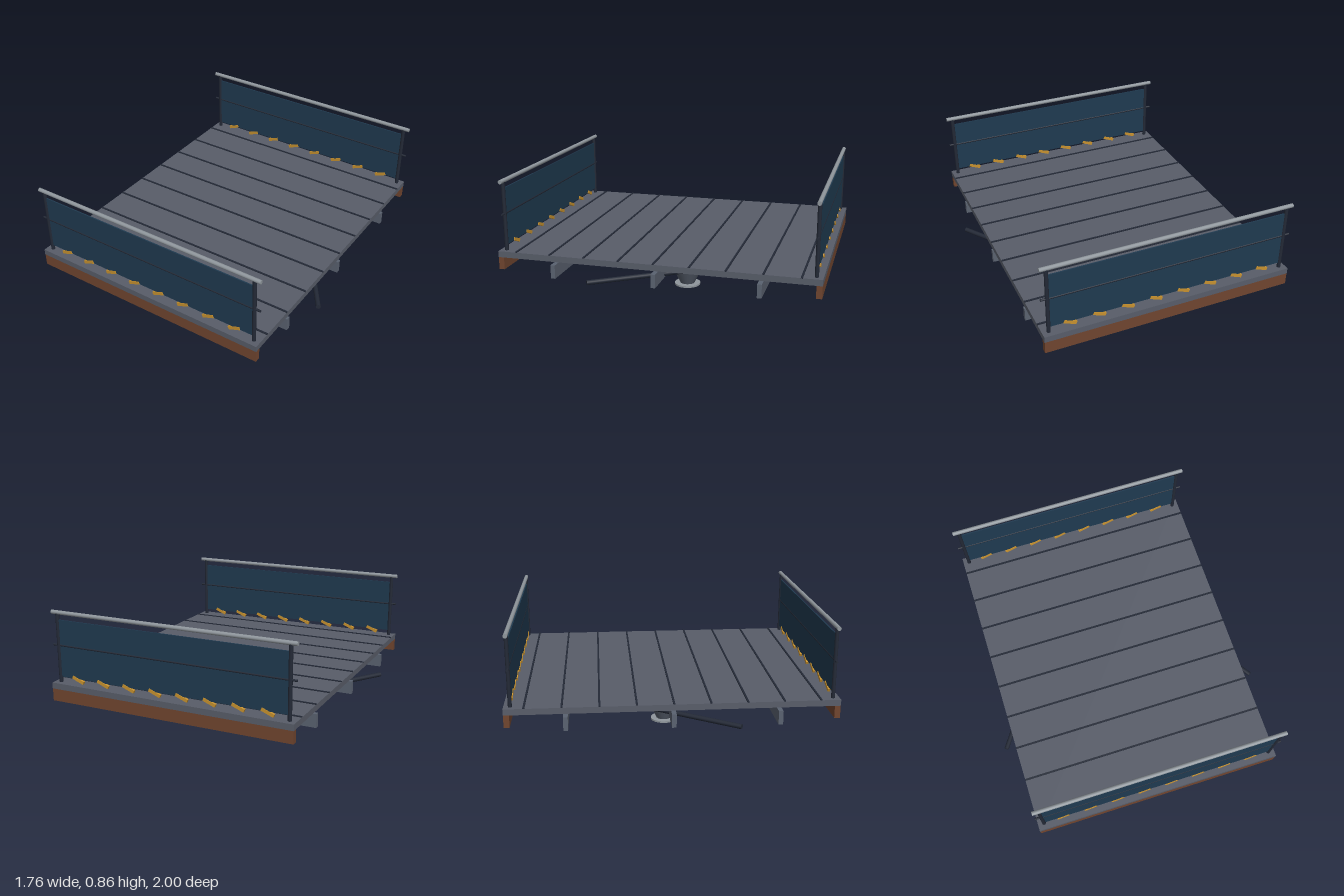
import * as THREE from 'three';

const mat = (color) => new THREE.MeshStandardMaterial({ color });
const slate = mat(0x585d69), steel = mat(0x5a6270), dark = mat(0x232936);
const silver = mat(0x8f969c), rust = mat(0x70452f), navy = mat(0x1f3a50), amber = mat(0xc8922f);

export function createModel() {
  const model = new THREE.Group();
  model.name = 'bridgeSection';

  const add = (parent, name, geometry, material, x, y, z) => {
    const mesh = new THREE.Mesh(geometry, material);
    mesh.name = name;
    mesh.position.set(x, y, z);
    parent.add(mesh);
    return mesh;
  };
  const box = (w, h, d) => new THREE.BoxGeometry(w, h, d);
  const rod = (r, length, sides = 12) => new THREE.CylinderGeometry(r, r, length, sides);

  // Deck with raised seams across it
  add(model, 'deck', box(1.6, 0.038, 2), slate, 0, 0.386, 0);
  for (let i = -4; i <= 4; i++) {
    add(model, 'deckSeam', box(1.6, 0.008, 0.012), dark, 0, 0.406, i * 0.22);
  }

  // Beams under the deck
  for (const z of [-0.64, 0, 0.64]) {
    add(model, 'crossBeam', box(1.6, 0.085, 0.028), steel, 0, 0.301, z);
  }

  // Zigzag bracing
  [-0.6, -0.2, 0.2, 0.6].forEach((x, i) => {
    const brace = add(model, 'diagonalBrace', rod(0.015, 0.95), dark, x, 0.28, 0);
    brace.rotation.set(Math.PI / 2, 0, i % 2 ? 0.6 : -0.6);
    // Lay the rod flat, then swing it about the vertical axis
    brace.rotation.order = 'YXZ';
    brace.rotation.set(Math.PI / 2, (i % 2 ? 1 : -1) * 0.6, 0);
  });

  // The same edge beam and railing on both ends
  for (const side of [-1, 1]) {
    const railing = new THREE.Group();
    railing.name = side > 0 ? 'frontRailing' : 'backRailing';
    railing.position.z = side * 0.96;
    model.add(railing);

    add(railing, 'edgeBeam', box(1.598, 0.1, 0.035), rust, 0, 0.339, side * 0.0215);
    add(railing, 'panel', box(1.5, 0.36, 0.008), navy, 0, 0.62, 0);
    add(railing, 'topRail', rod(0.013, 1.6), silver, 0, 0.845, 0).rotation.z = Math.PI / 2;
    add(railing, 'middleRail', rod(0.007, 1.6, 8), dark, 0, 0.64, 0).rotation.z = Math.PI / 2;
    for (const x of [-0.76, 0.76]) {
      add(railing, 'post', rod(0.012, 0.44), dark, x, 0.62, 0);
    }
    // Slanted marker strips below the panel
    for (let i = 0; i < 8; i++) {
      const strip = add(railing, 'markerStrip', box(0.082, 0.02, 0.016), amber, -0.63 + i * 0.18, 0.434, 0);
      strip.rotation.z = 0.38;
    }
  }

  // Hanging lamp below the middle
  add(model, 'lampStem', rod(0.015, 0.27), dark, 0, 0.235, 0);
  add(model, 'lampShade', new THREE.CylinderGeometry(0.097, 0.047, 0.1, 24), steel, 0, 0.059, 0);
  add(model, 'lampDisc', rod(0.088, 0.012, 24), silver, 0, 0.006, 0);

  return model;
}
